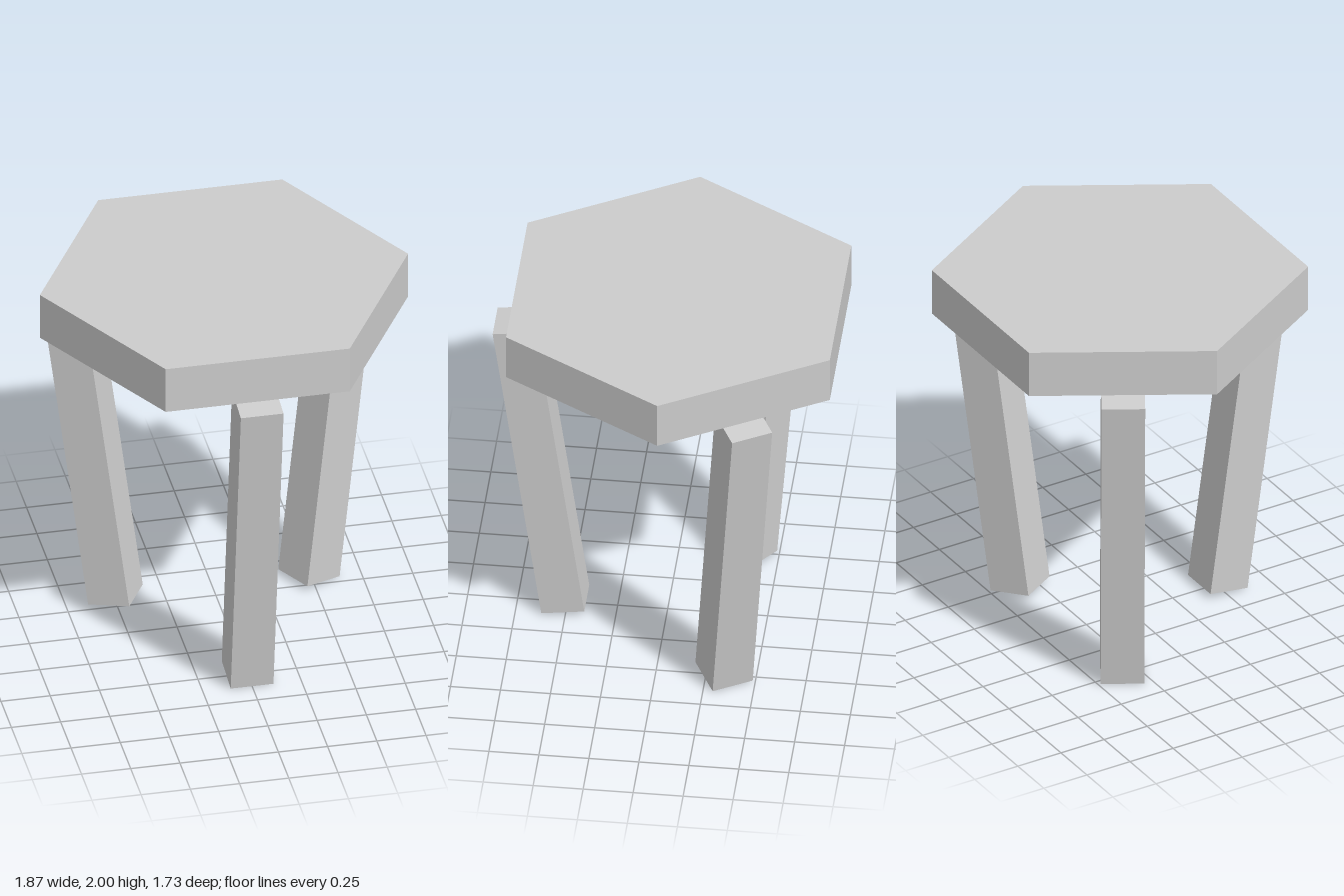
import * as THREE from 'three';

export function createModel() {
  const stool = new THREE.Group();
  stool.name = 'stool';
  const grey = new THREE.MeshStandardMaterial({ color: 0xcccccc, flatShading: true });
  grey.name = 'light grey';

  const centreZ = -0.055; // shared axis of the seat and the ring of legs

  // Hexagonal seat with corners pointing left and right
  const seat = new THREE.Mesh(new THREE.CylinderGeometry(0.935, 0.935, 0.25, 6), grey);
  seat.name = 'seat';
  seat.rotation.y = Math.PI / 6;
  seat.position.set(0, 1.875, centreZ);
  stool.add(seat);

  // Three square legs, leaning outward towards the top
  const legGeometry = new THREE.BoxGeometry(0.217, 1.75, 0.217);
  legGeometry.rotateX(THREE.MathUtils.degToRad(8));
  legGeometry.translate(0, 0.881, 0.689);
  ['frontLeg', 'backLeftLeg', 'backRightLeg'].forEach((name, i) => {
    const leg = new THREE.Mesh(legGeometry, grey);
    leg.name = name;
    leg.rotation.y = (i * Math.PI * 2) / 3;
    leg.position.z = centreZ;
    stool.add(leg);
  });

  return stool;
}
